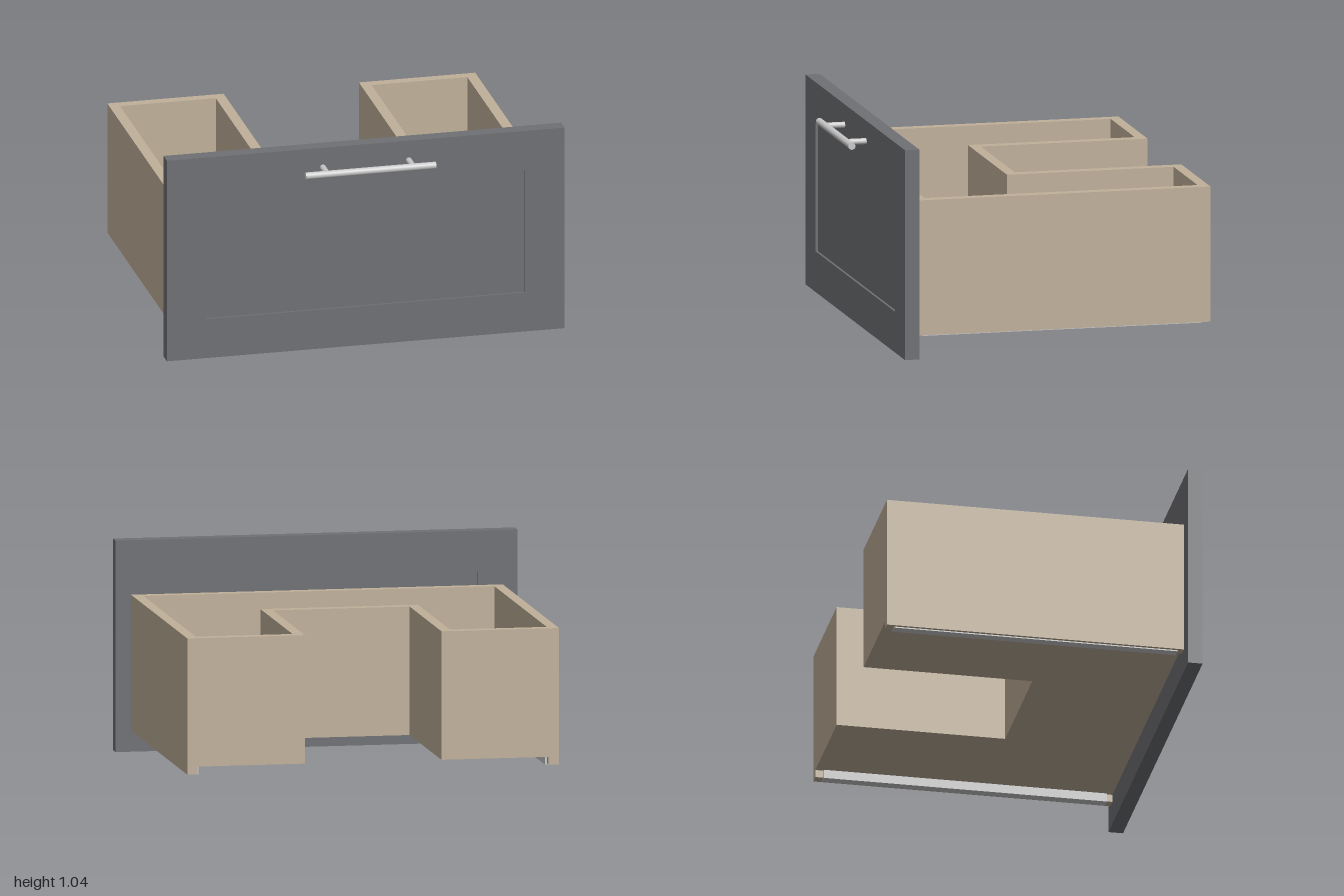
import * as THREE from 'three';

const wood = new THREE.MeshStandardMaterial({ name: 'tan wood', color: 0xc0b09a });
const paint = new THREE.MeshStandardMaterial({ name: 'grey paint', color: 0x6f7074 });
const metal = new THREE.MeshStandardMaterial({ name: 'light metal', color: 0xc8c8c8 });

function add(group, name, geometry, material, x = 0, y = 0, z = 0) {
  const mesh = new THREE.Mesh(geometry, material);
  mesh.name = name;
  mesh.position.set(x, y, z);
  group.add(mesh);
  return mesh;
}

// U-shaped plan of the drawer, inset by t from its outer faces
function uPoints(t) {
  const w = 0.925 - t, n = 0.34 + t, front = 0.64 - t, back = -0.84 + t;
  return [[-w, front], [w, front], [w, back], [n, back], [n, t], [-n, t], [-n, back], [-w, back]]
    .map(([x, z]) => new THREE.Vector2(x, -z));
}

function extrudeUp(shape, depth) {
  return new THREE.ExtrudeGeometry(shape, { depth, bevelEnabled: false }).rotateX(-Math.PI / 2);
}

function rectPoints(w, y0, y1) {
  return [[-w, y0], [w, y0], [w, y1], [-w, y1]].map(([x, y]) => new THREE.Vector2(x, y));
}

export function createModel() {
  const model = new THREE.Group();
  model.name = 'drawer';

  // Drawer walls and floor
  const wallShape = new THREE.Shape(uPoints(0));
  wallShape.holes.push(new THREE.Path(uPoints(0.052)));
  add(model, 'drawerWalls', extrudeUp(wallShape, 0.635), wood, 0, 0.142, 0);
  add(model, 'drawerFloor', extrudeUp(new THREE.Shape(uPoints(0.052)), 0.03), wood, 0, 0.142, 0);

  // Side skirts below the floor, with metal runners set into them
  for (const s of [-1, 1]) {
    add(model, 'sideSkirt', new THREE.BoxGeometry(0.052, 0.038, 1.48), wood, s * 0.899, 0.123, -0.1);
    add(model, 'runner', new THREE.BoxGeometry(0.048, 0.044, 1.41), metal, s * 0.886, 0.12, -0.095);
  }

  // Front: frame around a shallow recessed panel
  const frame = new THREE.Shape(rectPoints(1, 0, 1.045));
  frame.holes.push(new THREE.Path(rectPoints(0.8, 0.203, 0.842)));
  add(model, 'frontFrame', new THREE.ExtrudeGeometry(frame, { depth: 0.072, bevelEnabled: false }),
    paint, 0, 0, 0.646);
  add(model, 'frontPanel', new THREE.BoxGeometry(1.6, 0.639, 0.048), paint, 0, 0.5225, 0.682);

  // Bar handle on two posts
  const handle = new THREE.Group();
  handle.name = 'handle';
  handle.position.set(0, 0.943, 0);
  model.add(handle);
  add(handle, 'handleBar', new THREE.CylinderGeometry(0.018, 0.018, 0.655, 32).rotateZ(Math.PI / 2),
    metal, 0, 0, 0.817);
  for (const s of [-1, 1]) {
    add(handle, 'handlePost', new THREE.CylinderGeometry(0.015, 0.015, 0.1, 24).rotateX(Math.PI / 2),
      metal, s * 0.216, 0, 0.766);
  }
  return model;
}
